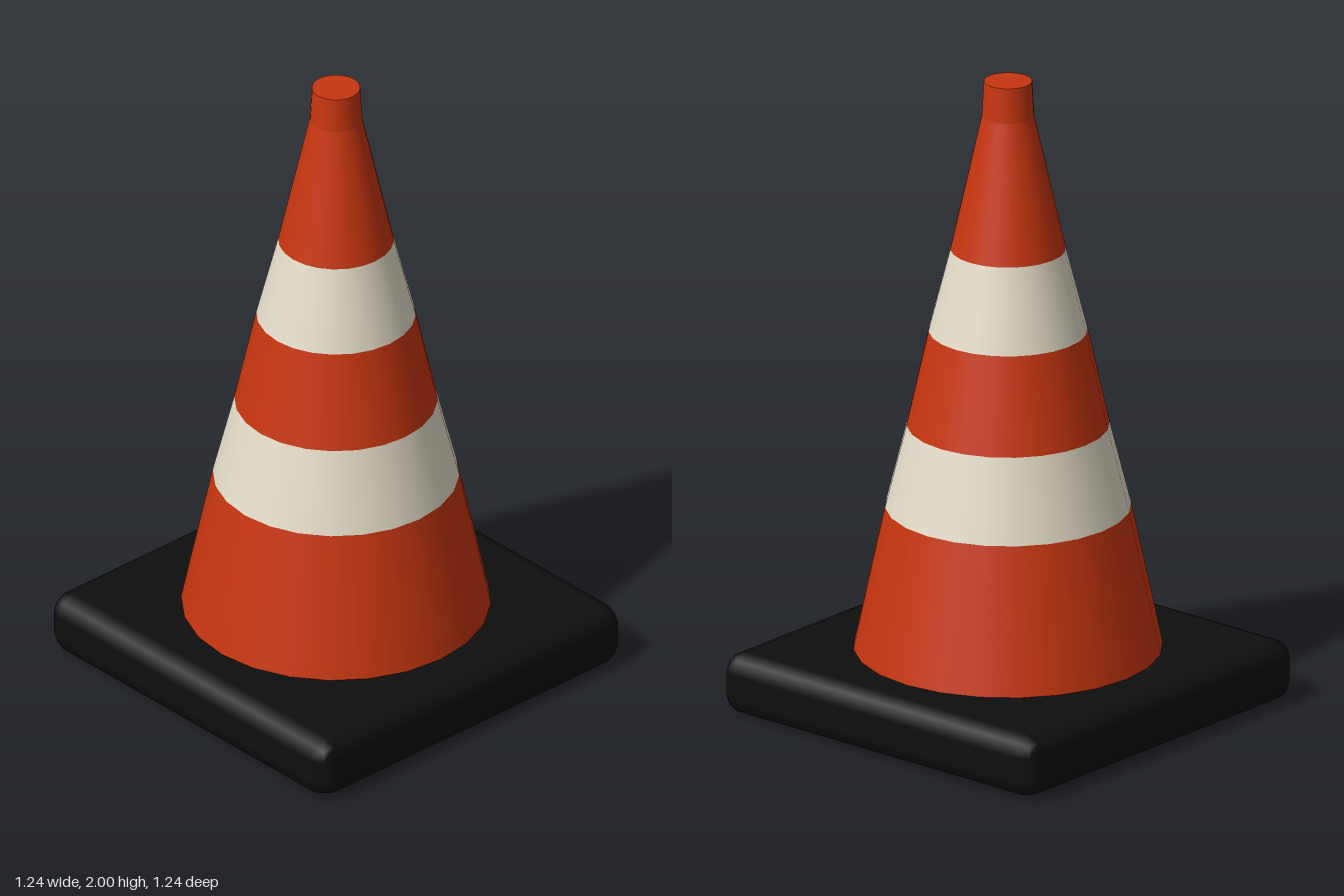
import * as THREE from 'three';
import { RoundedBoxGeometry } from 'three/addons/geometries/RoundedBoxGeometry.js';

const material = (name, color) => {
  const m = new THREE.MeshStandardMaterial({ color });
  m.name = name;
  return m;
};

export function createModel() {
  const orange = material('orange plastic', 0xc83610);
  const white = material('off-white band', 0xe6decb);
  const black = material('black rubber', 0x0e0e0e);

  const group = new THREE.Group();
  group.name = 'trafficCone';
  const add = (name, geometry, mat) => {
    const mesh = new THREE.Mesh(geometry, mat);
    mesh.name = name;
    group.add(mesh);
    return mesh;
  };

  // Square rubber foot with softened edges
  const footHeight = 0.195;
  add('base', new RoundedBoxGeometry(1.236, footHeight, 1.236, 1, 0.06), black)
    .position.y = footHeight / 2;

  // Conical body, stacked from coloured rings: [radius, height] profiles
  const sides = 24;
  const rings = [
    ['lowerBody', orange, [[0.467, 0.19], [0.435, 0.345], [0.371, 0.645]]],
    ['lowerBand', white, [[0.371, 0.645], [0.306, 0.905]]],
    ['middleBody', orange, [[0.306, 0.905], [0.24, 1.205]]],
    ['upperBand', white, [[0.24, 1.205], [0.174, 1.465]]],
    ['upperBody', orange, [[0.174, 1.465], [0.079, 1.89]]],
    ['tip', orange, [[0.079, 1.89], [0.073, 2]]],
  ];
  for (const [name, mat, profile] of rings) {
    const points = profile.map(([r, y]) => new THREE.Vector2(r, y));
    add(name, new THREE.LatheGeometry(points, sides), mat);
  }

  // Flat closed top
  const cap = add('tipCap', new THREE.CircleGeometry(0.073, sides), orange);
  cap.rotation.x = -Math.PI / 2;
  cap.position.y = 2;

  return group;
}
